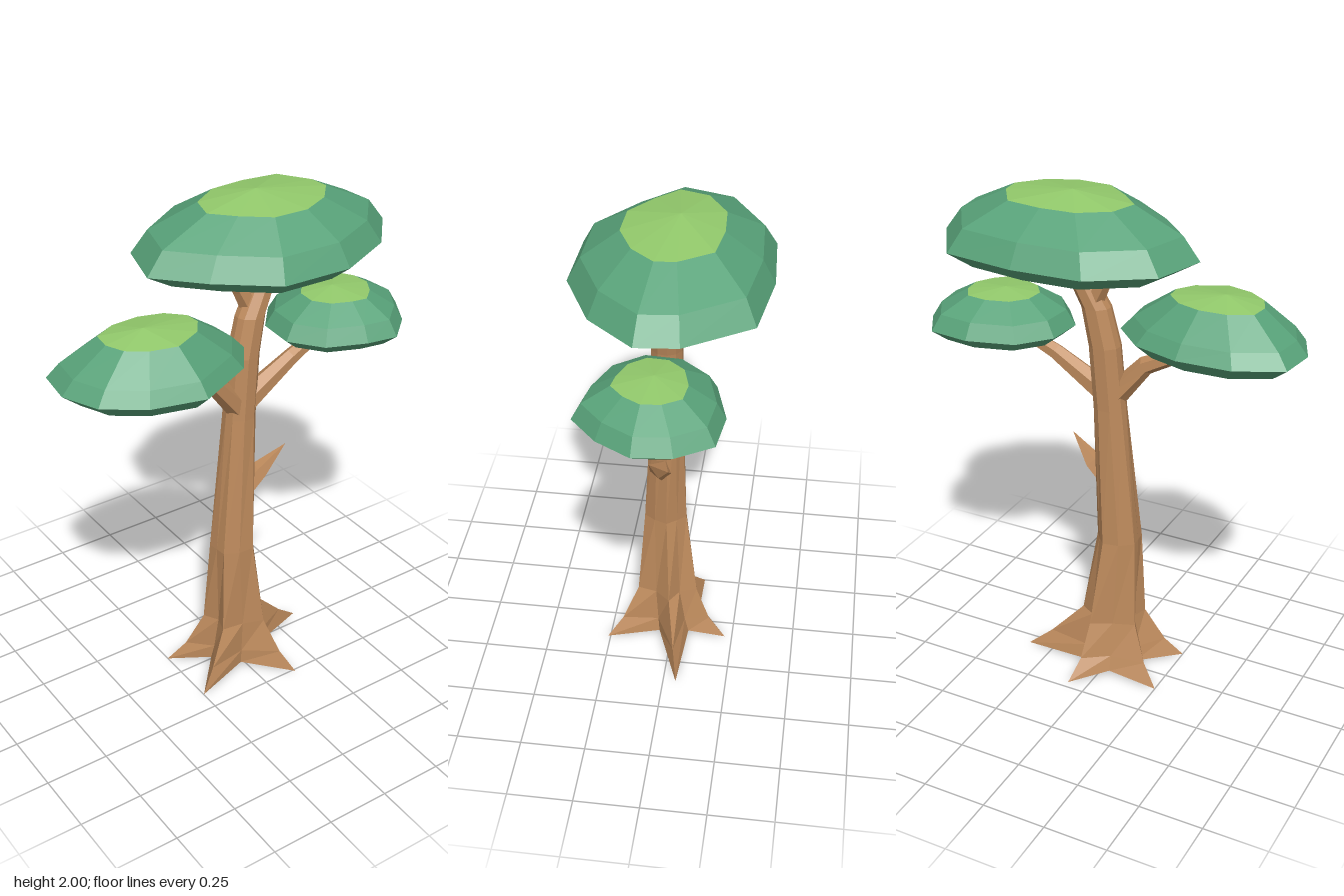
import * as THREE from 'three';

const bark = new THREE.MeshStandardMaterial({ color: 0xbd8a5c });
bark.name = 'bark brown';
const leaf = new THREE.MeshStandardMaterial({ color: 0x58a279 });
leaf.name = 'leaf green';
const leafTop = new THREE.MeshStandardMaterial({ color: 0x92c96b });
leafTop.name = 'sunlit leaf green';
for (const m of [bark, leaf, leafTop]) m.flatShading = true;

const V = (x, y, z) => new THREE.Vector3(x, y, z);

// Skin a list of rings (equal point counts); a ring of one repeated point closes an end.
function loft(name, rings, material) {
  const pos = [];
  const tri = (a, b, c) => {
    const area = b.clone().sub(a).cross(c.clone().sub(a)).length();
    if (area > 1e-9) for (const p of [a, b, c]) pos.push(p.x, p.y, p.z);
  };
  for (let r = 0; r < rings.length - 1; r++) {
    const lo = rings[r], hi = rings[r + 1], n = lo.length;
    for (let i = 0; i < n; i++) {
      const j = (i + 1) % n;
      tri(lo[i], hi[i], lo[j]);
      tri(lo[j], hi[i], hi[j]);
    }
  }
  const geo = new THREE.BufferGeometry();
  geo.setAttribute('position', new THREE.Float32BufferAttribute(pos, 3));
  geo.computeVertexNormals();
  const mesh = new THREE.Mesh(geo, material);
  mesh.name = name;
  return mesh;
}

const pointRing = (n, p) => Array.from({ length: n }, () => p.clone());

// Tapered branch along points [x, y, z, radius]
function branch(name, path, sides = 6) {
  const pts = path.map(([x, y, z]) => V(x, y, z));
  const rings = path.map(([, , , radius], k) => {
    const d = pts[Math.min(k + 1, pts.length - 1)].clone().sub(pts[Math.max(k - 1, 0)]).normalize();
    const u = d.clone().cross(V(0, 0, 1)).normalize();
    const v = u.clone().cross(d);
    return Array.from({ length: sides }, (_, i) => {
      const a = (i / sides) * Math.PI * 2;
      return pts[k].clone().addScaledVector(u, Math.cos(a) * radius).addScaledVector(v, Math.sin(a) * radius);
    });
  });
  rings.unshift(pointRing(sides, pts[0]));
  rings.push(pointRing(sides, pts[pts.length - 1]));
  return loft(name, rings, bark);
}

// Trunk: ridges run up from five root tips, with valleys between them
function trunk() {
  const tips = [[-8, 0.36], [62, 0.295], [146, 0.3], [202, 0.27], [290, 0.235]];
  const ring = (y, cx, cz, ridge, valley, valleyY = y) => tips.flatMap(([deg, reach], i) => {
    const next = i < 4 ? tips[i + 1][0] : 352;
    const at = (angle, r, h) => {
      const a = THREE.MathUtils.degToRad(angle);
      return V(cx + Math.cos(a) * r, h, cz + Math.sin(a) * r);
    };
    return [at(deg, ridge(reach), y), at((deg + next) / 2, valley, valleyY)];
  });
  const round = (y, cx, cz, r) => ring(y, cx, cz, () => r, r);
  return loft('trunk', [
    pointRing(10, V(0, 0.05, 0)),
    ring(0, 0, 0, (r) => r, 0.11, 0.02),
    ring(0.08, 0, 0.01, (r) => r * 0.73, 0.1),
    ring(0.22, 0, 0.025, () => 0.13, 0.088),
    ring(0.58, -0.02, 0.035, () => 0.09, 0.08),
    round(1.15, 0.015, 0.025, 0.064),
    round(1.4, 0.035, 0.022, 0.062),
    round(1.55, 0.068, 0.018, 0.057),
    round(1.64, 0.115, 0.01, 0.052),
    round(1.76, 0.18, 0, 0.047),
    pointRing(10, V(0.18, 1.76, 0)),
  ], bark);
}

// Canopy: rings are scaled copies of the rim outline [x, z] at given heights
function canopy(name, outline, [cx, cz], apex, [yBottom, yUnder, yRim, yShoulder, yCrown]) {
  const ring = (s, y) => outline.map(([x, z]) => V(cx + (x - cx) * s, y, cz + (z - cz) * s));
  const n = outline.length;
  const crown = ring(0.5, yCrown);
  const group = new THREE.Group();
  group.name = name;
  group.add(
    loft(name + 'Leaves', [
      pointRing(n, V(cx, yBottom, cz)),
      ring(0.8, yUnder),
      ring(1, yRim),
      ring(0.87, yShoulder),
      crown,
    ], leaf),
    loft(name + 'Crown', [crown, pointRing(n, V(...apex))], leafTop),
  );
  return group;
}

export function createModel() {
  const tree = new THREE.Group();
  tree.name = 'tree';
  tree.add(
    trunk(),
    branch('rightBranch', [[0.02, 1.17, 0.03, 0.05], [-0.12, 1.335, 0.05, 0.036], [-0.36, 1.45, 0.08, 0.024]]),
    branch('leftBranch', [[0.02, 1.19, 0.03, 0.05], [0.25, 1.325, 0.03, 0.032], [0.46, 1.42, 0.02, 0.022]]),
    branch('upperBranch', [[0.08, 1.56, 0.01, 0.04], [0.03, 1.655, 0.005, 0.03], [-0.03, 1.76, 0, 0.022]]),
    branch('brokenTwig', [[0.03, 0.82, 0.04, 0.042], [0.1, 0.88, 0.045, 0.037], [0.2, 0.975, 0.07, 0.001]], 5),
    canopy('topCanopy', [
      [0.645, 0.05], [0.5, 0.22], [0.27, 0.33], [0, 0.32], [-0.2, 0.16], [-0.35, 0],
      [-0.29, -0.21], [-0.07, -0.355], [0.2, -0.37], [0.48, -0.33], [0.63, -0.1],
    ], [0.155, -0.02], [0.13, 2, -0.04], [1.715, 1.735, 1.795, 1.88, 1.968]),
    canopy('rightCanopy', [
      [-0.03, 0.12], [-0.12, 0.25], [-0.34, 0.36], [-0.54, 0.31], [-0.68, 0.21], [-0.74, 0.07],
      [-0.72, -0.08], [-0.55, -0.165], [-0.34, -0.175], [-0.16, -0.12], [-0.04, 0],
    ], [-0.395, 0.085], [-0.42, 1.66, 0.08], [1.42, 1.432, 1.487, 1.54, 1.635]),
    canopy('leftCanopy', [
      [0.735, 0.05], [0.66, 0.18], [0.55, 0.28], [0.43, 0.26], [0.28, 0.2], [0.19, 0.08],
      [0.2, -0.07], [0.3, -0.19], [0.48, -0.24], [0.64, -0.22], [0.72, -0.09],
    ], [0.46, 0.02], [0.45, 1.56, 0.01], [1.37, 1.38, 1.425, 1.485, 1.543]),
  );
  return tree;
}
